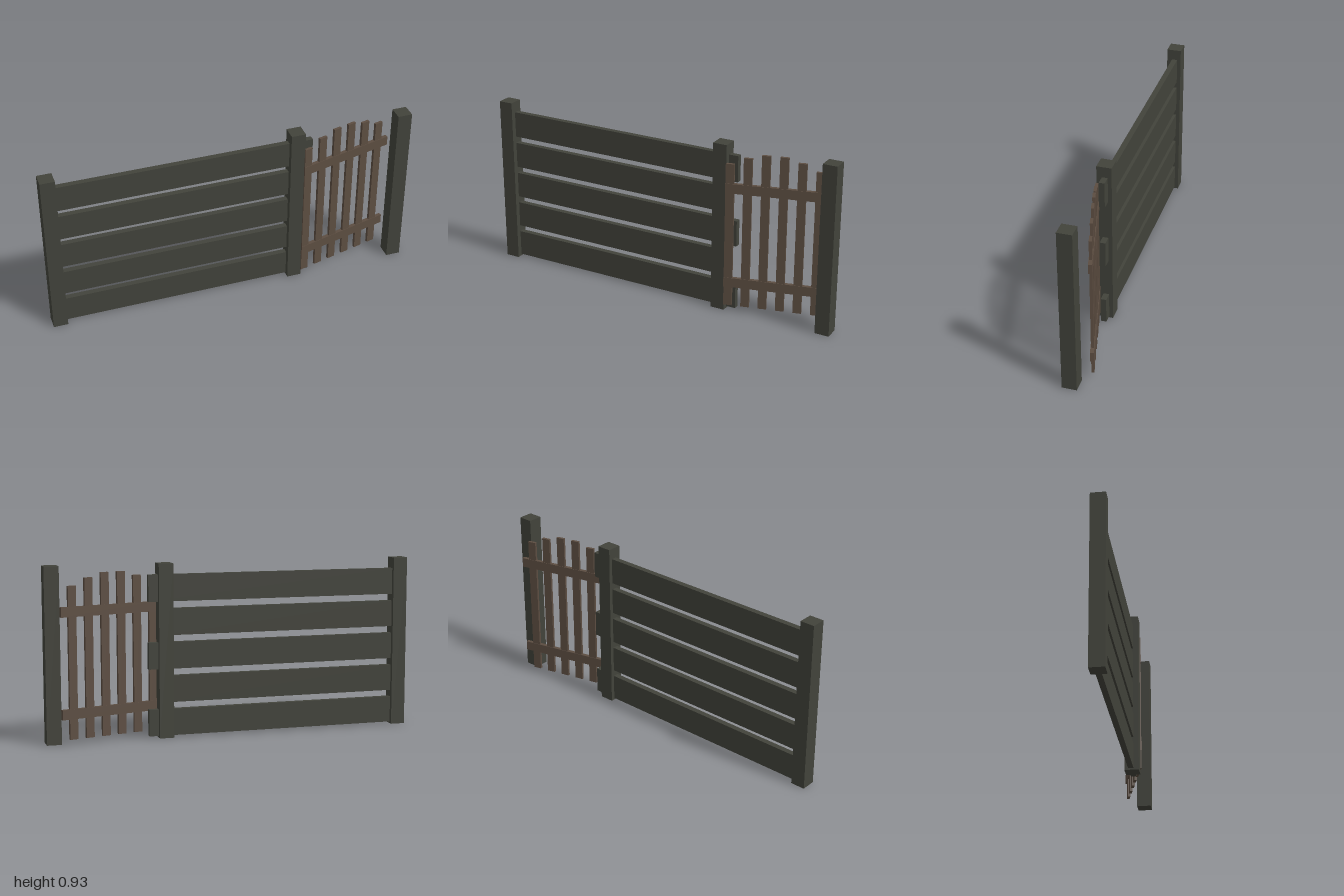
import * as THREE from 'three';

export function createModel() {
  const model = new THREE.Group();
  model.name = 'fenceWithGate';

  const darkWood = new THREE.MeshStandardMaterial({ color: 0x42433b });
  darkWood.name = 'dark grey wood';
  const brownWood = new THREE.MeshStandardMaterial({ color: 0x5c4d41 });
  brownWood.name = 'brown wood';

  // Box given by its x and y ranges, its depth and its middle z
  function board(parent, name, material, [x0, x1], [y0, y1], depth, z) {
    const mesh = new THREE.Mesh(new THREE.BoxGeometry(x1 - x0, y1 - y0, depth), material);
    mesh.position.set((x0 + x1) / 2, (y0 + y1) / 2, z);
    mesh.name = name;
    parent.add(mesh);
  }

  // Three square posts
  for (const x of [-0.961, 0.361, 0.961]) {
    board(model, 'post', darkWood, [x - 0.039, x + 0.039], [0, 0.927], 0.079, 0.03);
  }

  // Five wide planks; every other one runs on past the middle post
  for (let i = 0; i < 5; i++) {
    const y = 0.01 + i * 0.179;
    board(model, 'plank', darkWood, [-0.94, i % 2 ? 0.37 : 0.452], [y, y + 0.142], 0.03, 0.026);
  }

  // Gate, standing slightly open
  const gate = new THREE.Group();
  gate.name = 'gate';
  gate.position.set(0.6625, 0, 0.0005);
  gate.rotation.y = 0.25;
  model.add(gate);

  // Pickets with an arched top line, set through the two rails
  [0.83, 0.868, 0.891, 0.891, 0.868, 0.83].forEach((top, i) => {
    const x = -0.251 + i * 0.0924;
    board(gate, 'picket', brownWood, [x - 0.0225, x + 0.0225], [0.035, top], 0.015, 0);
  });
  for (const y of [0.142, 0.671]) {
    board(gate, 'gateRail', brownWood, [-0.2745, 0.2745], [y, y + 0.052], 0.02, 0);
  }

  return model;
}
